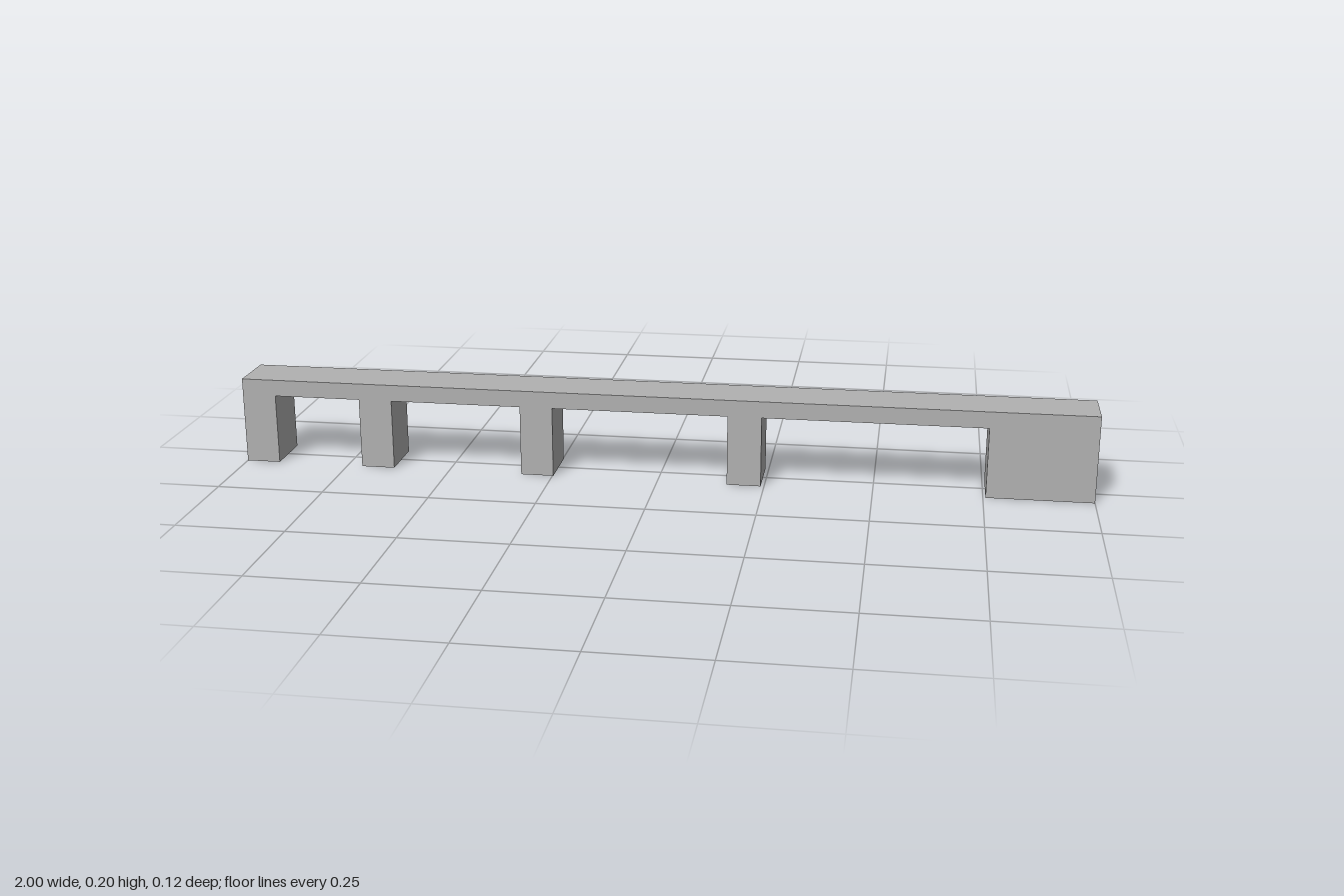
import * as THREE from 'three';

const HEIGHT = 0.205;
const DECK_UNDERSIDE = 0.166;
const DEPTH = 0.124;

// Openings between the piers, as [left edge, right edge] along x
const OPENINGS = [
  [-0.92, -0.714],
  [-0.635, -0.325],
  [-0.248, 0.163],
  [0.242, 0.756],
];

export function createModel() {
  const group = new THREE.Group();
  group.name = 'pierBridge';

  const concrete = new THREE.MeshStandardMaterial({ color: 0xb2b2b2 });
  concrete.name = 'concrete grey';

  // Side outline: stepped along the underside, flat across the deck
  const outline = new THREE.Shape();
  outline.moveTo(-1, 0);
  for (const [a, b] of OPENINGS) {
    outline.lineTo(a, 0);
    outline.lineTo(a, DECK_UNDERSIDE);
    outline.lineTo(b, DECK_UNDERSIDE);
    outline.lineTo(b, 0);
  }
  outline.lineTo(1, 0);
  outline.lineTo(1, HEIGHT);
  outline.lineTo(-1, HEIGHT);
  outline.closePath();

  // Deck and piers are one solid block
  const geometry = new THREE.ExtrudeGeometry(outline, { depth: DEPTH, bevelEnabled: false });
  geometry.translate(0, 0, -DEPTH / 2);

  const deck = new THREE.Mesh(geometry, concrete);
  deck.name = 'deckWithPiers';
  group.add(deck);

  return group;
}
